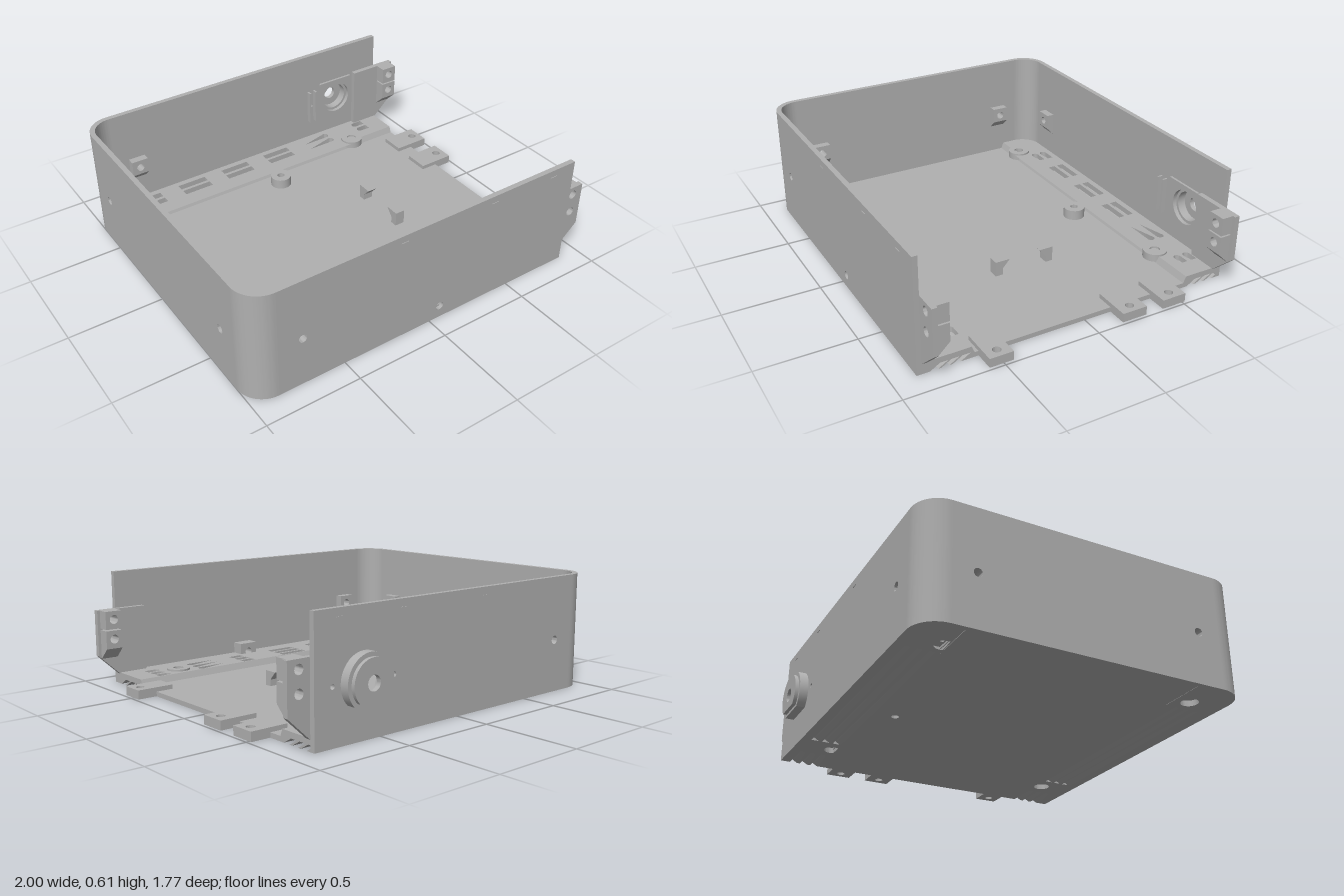
import * as THREE from 'three';
import { toCreasedNormals } from 'three/addons/utils/BufferGeometryUtils.js';

const plastic = new THREE.MeshStandardMaterial({ color: 0xb0b0b0 });
plastic.name = 'grey plastic';
const H = 0.605; // wall height

function poly(points) {
  return new THREE.Shape(points.map(([x, y]) => new THREE.Vector2(x, y)));
}
function rect(x0, x1, y0, y1) {
  return poly([[x0, y0], [x1, y0], [x1, y1], [x0, y1]]);
}
// Round holes given as [x, y, radius]
function drill(shape, holes) {
  for (const [x, y, r] of holes) {
    shape.holes.push(new THREE.Path().absarc(x, y, r, 0, Math.PI * 2, true));
  }
  return shape;
}
function extrude(shape, depth) {
  return new THREE.ExtrudeGeometry(shape, { depth, bevelEnabled: false, curveSegments: 14 });
}

export function createModel() {
  const model = new THREE.Group();
  model.name = 'enclosureBase';

  const add = (name, geometry) => {
    const mesh = new THREE.Mesh(toCreasedNormals(geometry, 0.55), plastic);
    mesh.name = name;
    model.add(mesh);
    return mesh;
  };
  // Shape in (x, y), thick along z
  const upright = (name, shape, z0, z1) => add(name, extrude(shape, z1 - z0).translate(0, 0, z0));
  // Shape in (x, z), thick along y
  const flat = (name, shape, y0, y1) =>
    add(name, extrude(shape, y1 - y0).rotateX(Math.PI / 2).translate(0, y1, 0));
  // Shape in (z, y), running along x
  const along = (name, shape, x0, x1) =>
    add(name, extrude(shape, x1 - x0).rotateY(-Math.PI / 2).translate(x1, 0, 0));

  // Walls and rounded corners
  upright('frontWall', drill(rect(-0.86, 0.88, 0, H), [[-0.73, 0.275, 0.022], [0.06, 0.07, 0.022]]), 0.853, 0.88);
  upright('backWall', drill(rect(-0.86, 0.88, 0, H),
    [[-0.73, 0.275, 0.022], [0.6, 0.27, 0.095], [0.42, 0.27, 0.012], [0.78, 0.27, 0.012]]), -0.82, -0.793);
  along('sideWall', drill(rect(-0.68, 0.74, 0, H), [[0.62, 0.275, 0.022], [-0.555, 0.275, 0.022]]), -1, -0.973);
  for (const [cz, a] of [[0.74, Math.PI / 2], [-0.68, Math.PI]]) {
    const corner = new THREE.Shape();
    corner.absarc(-0.86, cz, 0.14, a, a + Math.PI / 2, false);
    corner.absarc(-0.86, cz, 0.113, a + Math.PI / 2, a, true);
    flat('wallCorner', corner, 0, H);
  }

  // Small raised ticks near the top of the long walls
  for (const x of [-0.18, 0.36, 0.74]) {
    for (const z of [0.88, -0.82]) {
      add('wallTick', new THREE.BoxGeometry(0.04, 0.006, 0.006).translate(x, 0.565, z));
    }
  }

  // Middle floor
  flat('floor', drill(rect(-0.98, 0.88, -0.6, 0.605), [[0.015, -0.5, 0.02]]), 0, 0.025);

  // Raised ventilated strips beside the long walls
  const slotXs = [[-0.73, -0.63, 'start'], [-0.515, -0.345], [-0.235, -0.065], null,
    [0.33, 0.505, 'end'], [0.69, 0.765, 'start']];
  const slot = (x0, x1, z, end) => {
    const w = 0.02, p = new THREE.Path();
    p.moveTo(end === 'start' ? x0 + w : x0, z - w);
    if (end === 'end') p.absarc(x1 - w, z, w, -Math.PI / 2, Math.PI / 2, false);
    else p.lineTo(x1, z - w).lineTo(x1, z + w);
    if (end === 'start') p.absarc(x0 + w, z, w, Math.PI / 2, Math.PI * 1.5, false);
    else p.lineTo(x0, z + w);
    p.closePath();
    return p;
  };
  const strips = [
    { s: 1, zi: 0.607, zo: 0.86, cz: 0.74, screw: 0.69, grooves: [0.633, 0.689, 0.745],
      rows: [0.633, 0.689, 0.745], fourth: [0.135, 0.215], lo: 0.6, hi: 0.86 },
    { s: -1, zi: -0.602, zo: -0.8, cz: -0.68, screw: -0.62, grooves: [-0.798, -0.74, -0.682],
      rows: [-0.74, -0.682], fourth: [0.05, 0.215], lo: -0.82, hi: -0.595 },
  ];
  for (const { s, zi, zo, cz, screw, grooves, rows, fourth, lo, hi } of strips) {
    const cornered = (x1) => {
      const shape = new THREE.Shape();
      shape.moveTo(x1, zi);
      shape.lineTo(x1, zo);
      shape.lineTo(-0.86, zo);
      shape.absarc(-0.86, cz, 0.12, s * Math.PI / 2, s * Math.PI, s < 0);
      shape.lineTo(-0.98, zi);
      shape.closePath();
      return shape;
    };
    // Slotted top layer
    const top = drill(cornered(0.88), [[-0.805, screw, 0.05], [0.6, screw, 0.05]]);
    for (const z of rows) {
      for (const range of slotXs) {
        const [x0, x1, end] = range || fourth;
        top.holes.push(slot(x0, x1, z, end));
      }
    }
    flat('ventStrip', top, 0.03, 0.06);
    // Solid patches around the screws
    flat('screwPatch', drill(cornered(-0.73), [[-0.805, screw, 0.045]]), 0, 0.03);
    flat('screwPatch', drill(rect(0.505, 0.69, lo, hi), [[0.6, screw, 0.045]]), 0, 0.03);
    // Slanted louvres under the slots
    const w = 0.02, lean = 0.05;
    const blades = [];
    for (let i = 0; i <= grooves.length; i++) {
      const first = i === 0, last = i === grooves.length;
      const a = first ? lo : grooves[i - 1] + w;
      const b = last ? hi : grooves[i] - w;
      blades.push(poly([[first ? a : a + lean, 0], [last ? b : b + lean, 0], [b, 0.03], [a, 0.03]]));
    }
    along('louvres', blades, -0.73, 0.505);
    along('louvres', blades, 0.69, 0.88);
    // Sloped step down to the floor
    along('stripStep', poly([[zi - s * 0.017, 0.02], [zi, 0.06], [zi + s * 0.002, 0.06], [zi + s * 0.002, 0.02]]), -0.98, 0.88);
    // Screw bosses
    for (const x of [-0.805, 0.6]) {
      const boss = new THREE.Shape().absarc(x, screw, 0.063, 0, Math.PI * 2, false);
      flat('screwBoss', drill(boss, [[x, screw, 0.027]]), 0.03, 0.07);
    }
  }
  const centreBoss = new THREE.Shape().absarc(0.015, -0.5, 0.058, 0, Math.PI * 2, false);
  flat('centreBoss', drill(centreBoss, [[0.015, -0.5, 0.02]]), 0.02, 0.08);

  // Screw tabs at the open end
  for (const [z0, z1] of [[-0.515, -0.382], [-0.283, -0.147], [0.45, 0.573]]) {
    const z = (z0 + z1) / 2;
    flat('screwTab', drill(rect(0.785, 0.985, z0, z1), [[0.938, z, 0.022]]), 0.001, 0.048);
  }

  // Pair of hooked clips on the floor
  for (const s of [1, -1]) {
    const hook = [[0.167, 0.02], [0.167, 0.105], [0.087, 0.105], [0.127, 0.06], [0.127, 0.02]];
    along('floorClip', poly(hook.map(([z, y]) => [0.033 + s * z, y])), 0.315, 0.37);
  }

  // Drilled blocks with sloped undersides on the inner walls
  for (const [x, z, turn] of [[-0.975, 0.62, Math.PI / 2], [-0.975, -0.555, Math.PI / 2],
    [-0.73, -0.795, 0], [-0.73, 0.855, Math.PI]]) {
    const place = (mesh) => {
      mesh.rotation.y = turn;
      mesh.position.set(x, 0, z);
    };
    place(upright('wallBlock', drill(rect(-0.046, 0.046, 0.235, 0.32), [[0, 0.275, 0.022]]), 0, 0.045));
    place(along('wallBlockSlope', poly([[0, 0.19], [0.045, 0.235], [0, 0.235]]), -0.046, 0.046));
  }
  upright('frontBoss', drill(rect(0.005, 0.115, 0.03, 0.12), [[0.06, 0.07, 0.022]]), 0.785, 0.855);

  // End plates with drilled brackets
  const bracketHoles = [[0.938, 0.365, 0.024], [0.938, 0.26, 0.024]];
  for (const [s, wall] of [[1, 0.853], [-1, -0.793]]) {
    const inner = wall - s * 0.028, tip = inner - s * 0.062;
    const plate = poly([[0.72, 0.04], [0.865, 0.04], [1, 0.165], [1, 0.41], [0.72, 0.41]]);
    upright('endPlate', drill(plate, bracketHoles), Math.min(wall, inner), Math.max(wall, inner));
    for (const [i, y0] of [0.314, 0.21].entries()) {
      const block = drill(rect(0.893, 0.985, y0, y0 + 0.096), [bracketHoles[i]]);
      upright('bracket', block, Math.min(inner, tip), Math.max(inner, tip));
    }
    along('bracketSlope', poly([[inner, 0.15], [tip, 0.21], [inner, 0.21]]), 0.893, 0.985);
  }

  // Teardrop socket on the back wall
  const teardrop = (r, hole) => {
    const shape = new THREE.Shape();
    shape.moveTo(0.6, 0.27 - r * Math.SQRT2);
    shape.absarc(0.6, 0.27, r, -Math.PI / 4, Math.PI * 1.25, false);
    shape.closePath();
    return drill(shape, [[0.6, 0.27, hole]]);
  };
  upright('socketBody', teardrop(0.135, 0.08), -0.866, -0.815);
  upright('socketCap', teardrop(0.114, 0.037), -0.885, -0.86);

  // Guide rails around the socket inside
  upright('socketRail', rect(0.395, 0.405, 0.17, 0.37), -0.795, -0.765);
  upright('socketRail', rect(0.435, 0.445, 0.17, 0.37), -0.795, -0.765);
  upright('socketRail', rect(0.48, 0.7, 0.385, 0.4), -0.795, -0.78);

  return model;
}
